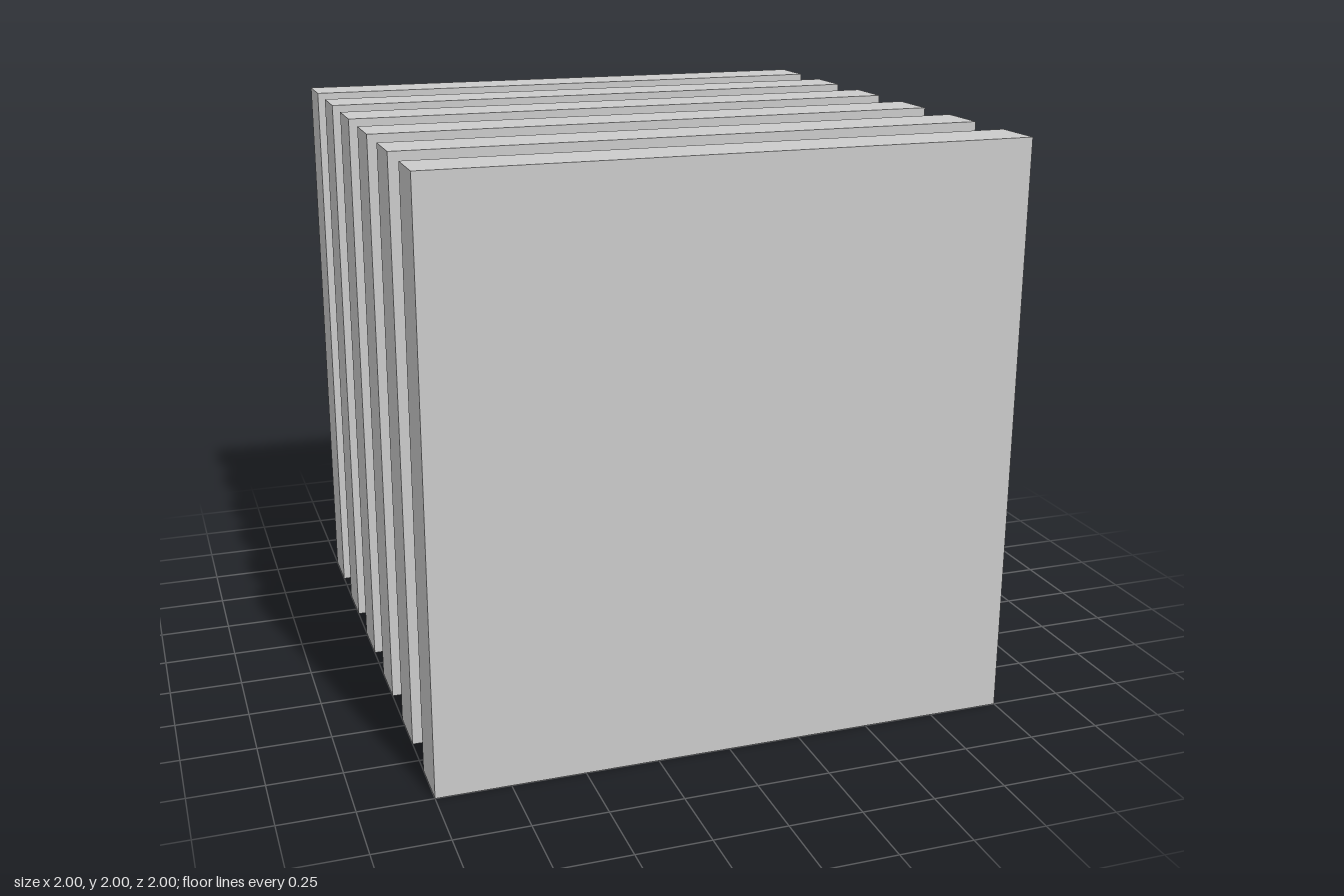
import * as THREE from 'three';

export function createModel() {
  const model = new THREE.Group();
  const material = new THREE.MeshStandardMaterial({ color: 0xcccccc });

  const plateCount = 6;
  const thickness = 2 / (2 * plateCount - 1); // plates and gaps are equally thick
  const coreSize = 1.686;

  // Upright square plates, front to back
  const plateGeometry = new THREE.BoxGeometry(2, 2, thickness);
  for (let i = 0; i < plateCount; i++) {
    const plate = new THREE.Mesh(plateGeometry, material);
    plate.name = `plate${i + 1}`;
    plate.position.set(0, 1, 1 - thickness * (2 * i + 0.5));
    model.add(plate);
  }

  // Square core block joining the plates
  const core = new THREE.Mesh(new THREE.BoxGeometry(coreSize, coreSize, 2 - 2 * thickness), material);
  core.name = 'core';
  core.position.y = 1;
  model.add(core);

  return model;
}
